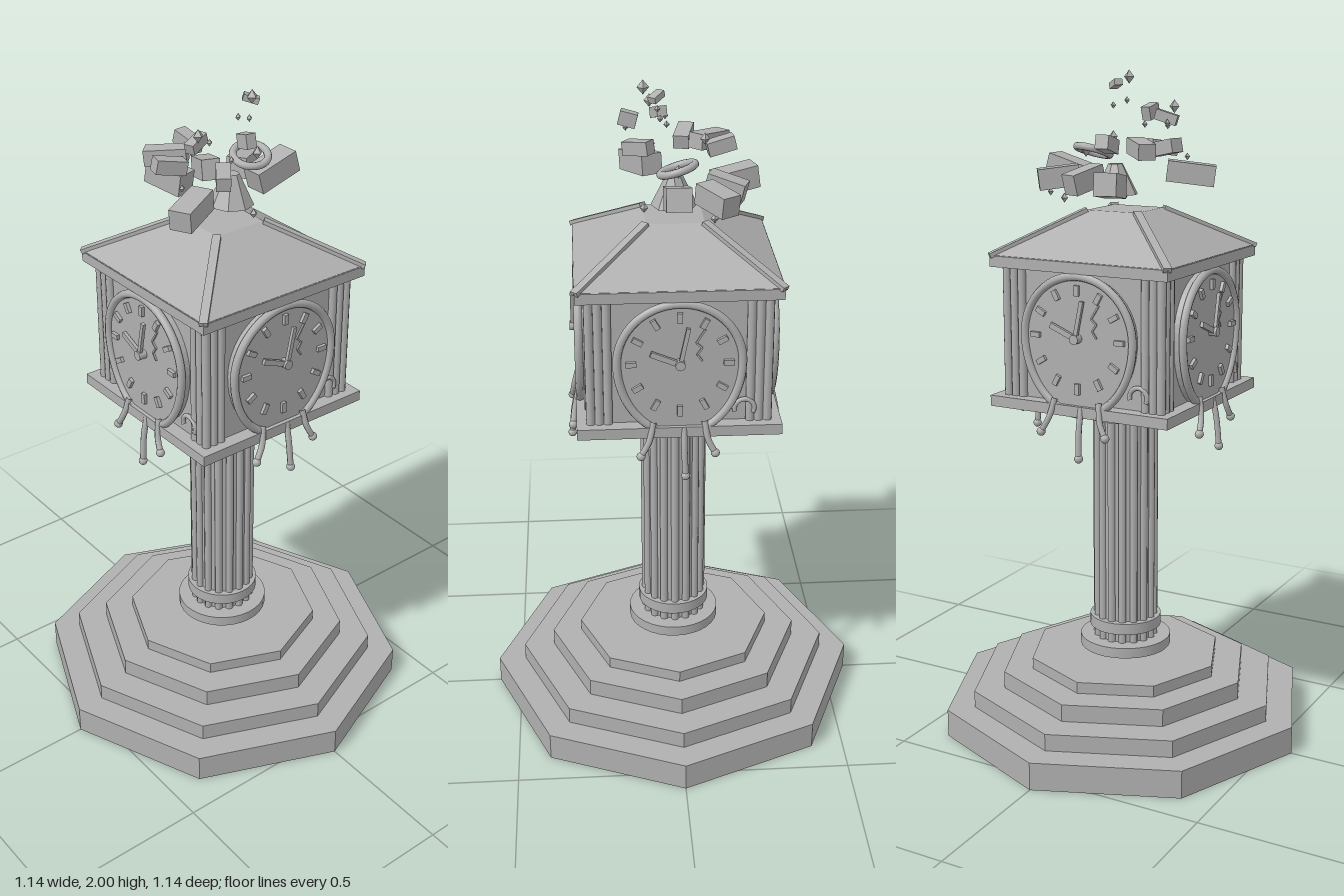
import * as THREE from 'three';

const stone = new THREE.MeshStandardMaterial({ color: 0xb0b0b0 });
stone.name = 'grey stone';

function add(parent, name, geometry, x = 0, y = 0, z = 0, flat = false) {
  const mesh = new THREE.Mesh(flat ? geometry.toNonIndexed() : geometry, stone);
  if (flat) mesh.geometry.computeVertexNormals();
  mesh.name = name;
  mesh.position.set(x, y, z);
  parent.add(mesh);
  return mesh;
}

// Upright disc or prism between two heights
function disc(parent, name, r, y0, y1, sides = 32, rTop = r) {
  return add(parent, name, new THREE.CylinderGeometry(rTop, r, y1 - y0, sides), 0, (y0 + y1) / 2, 0, sides < 12);
}

function slab(parent, name, half, y0, y1) {
  return add(parent, name, new THREE.BoxGeometry(half * 2, y1 - y0, half * 2), 0, (y0 + y1) / 2, 0);
}

function tube(parent, name, points, r, closed = false, steps = 16) {
  const curve = new THREE.CatmullRomCurve3(points.map(p => new THREE.Vector3(...p)), closed);
  return add(parent, name, new THREE.TubeGeometry(curve, steps, r, 8, closed));
}

// Flat bar from one point to another in the dial plane
function bar(parent, name, x0, y0, x1, y1, width, depth, z) {
  const length = Math.hypot(x1 - x0, y1 - y0);
  const mesh = add(parent, name, new THREE.BoxGeometry(length, width, depth), (x0 + x1) / 2, (y0 + y1) / 2, z);
  mesh.rotation.z = Math.atan2(y1 - y0, x1 - x0);
  return mesh;
}

// One melting clock face, facing +z, dial centre at the group's origin
function createClock() {
  const clock = new THREE.Group();
  clock.name = 'meltingClock';
  const outline = [];
  for (let i = 0; i < 48; i++) {
    const a = (i / 48) * Math.PI * 2, s = Math.sin(a);
    outline.push([0.176 * Math.cos(a), (s < 0 ? 0.222 : 0.176) * s]);
  }
  const shape = new THREE.Shape(outline.map(p => new THREE.Vector2(...p)));
  add(clock, 'dial', new THREE.ExtrudeGeometry(shape, { depth: 0.03, bevelEnabled: false }), 0, 0, 0.25);
  tube(clock, 'rim', outline.map(p => [p[0], p[1], 0.28]), 0.012, true, 96);

  // Hour marks
  for (let i = 0; i < 12; i++) {
    const a = (i / 12) * Math.PI * 2, c = Math.cos(a), s = Math.sin(a);
    const sag = s < 0 ? 1.07 : 1;
    bar(clock, 'hourMark', 0.122 * c, 0.122 * s * sag, 0.152 * c, 0.152 * s * sag, 0.015, 0.012, 0.284);
  }
  // Hands and hub
  bar(clock, 'hourHand', 0, 0, -0.082, 0.034, 0.016, 0.01, 0.292);
  bar(clock, 'minuteHand', 0, 0, 0.023, 0.11, 0.012, 0.01, 0.296);
  add(clock, 'hub', new THREE.CylinderGeometry(0.014, 0.014, 0.026, 16), 0, 0, 0.292).rotation.x = Math.PI / 2;

  // Crack in the dial
  const crack = [[0.07, 0.1], [0.045, 0.06], [0.062, 0.045], [0.048, 0.025], [0.062, 0.005]];
  for (let i = 1; i < crack.length; i++) bar(clock, 'crack', ...crack[i - 1], ...crack[i], 0.005, 0.006, 0.282);

  // Drips running over the ledge
  const drips = [
    [[0.012, -0.2, 0.285], [0.012, -0.26, 0.298], [0.015, -0.345, 0.306]],
    [[-0.075, -0.18, 0.285], [-0.088, -0.235, 0.297], [-0.112, -0.28, 0.303]],
    [[0.07, -0.18, 0.285], [0.08, -0.235, 0.297], [0.1, -0.275, 0.303]],
  ];
  for (const path of drips) {
    tube(clock, 'drip', path, 0.009);
    add(clock, 'dripEnd', new THREE.SphereGeometry(0.013, 12, 8), ...path[2]);
  }
  // Curled spring beside the dial
  add(clock, 'spring', new THREE.TorusGeometry(0.028, 0.007, 8, 20, Math.PI * 1.25), 0.185, -0.155, 0.262).rotation.z = -0.5;
  return clock;
}

export function createModel() {
  const model = new THREE.Group();
  model.name = 'clockTower';

  // Octagonal steps
  [[0.57, 0, 0.085], [0.485, 0.085, 0.137], [0.39, 0.137, 0.19], [0.3, 0.19, 0.225]]
    .forEach(([r, y0, y1]) => disc(model, 'step', r, y0, y1, 8));

  // Column with ribs, base rings and capital
  const column = new THREE.Group();
  column.name = 'column';
  model.add(column);
  disc(column, 'foot', 0.08, 0.225, 0.25);
  disc(column, 'baseRing', 0.14, 0.248, 0.28);
  disc(column, 'upperBaseRing', 0.11, 0.312, 0.347);
  disc(column, 'shaft', 0.088, 0.28, 0.99);
  disc(column, 'capital', 0.122, 0.985, 1.017);
  disc(column, 'capitalNeck', 0.108, 1.017, 1.045);
  for (let i = 0; i < 16; i++) {
    const a = (i / 16) * Math.PI * 2;
    add(column, 'rib', new THREE.CylinderGeometry(0.012, 0.012, 0.71, 8), 0.088 * Math.sin(a), 0.635, 0.088 * Math.cos(a));
  }

  // Clock house
  slab(model, 'ledge', 0.292, 1.04, 1.072);
  slab(model, 'house', 0.25, 1.072, 1.455);
  slab(model, 'cornice', 0.288, 1.452, 1.486);
  for (let i = 0; i < 4; i++) {
    const side = new THREE.Group();
    side.name = 'side';
    side.rotation.y = (i * Math.PI) / 2;
    model.add(side);
    const clock = createClock();
    clock.position.y = 1.268;
    side.add(clock);
    for (const x of [-0.252, -0.227, -0.202, 0.202, 0.227])
      add(side, 'pilaster', new THREE.CylinderGeometry(0.013, 0.013, 0.385, 10), x, 1.264, 0.252);

    // Hip ridge of the roof
    const a = new THREE.Vector3(0.288, 1.484, 0.288), b = new THREE.Vector3(0.083, 1.606, 0.083);
    const ridge = add(side, 'hipRidge', new THREE.BoxGeometry(0.024, 0.014, a.distanceTo(b)));
    ridge.position.copy(a).lerp(b, 0.5);
    ridge.lookAt(b.clone());
    ridge.rotation.set(0, 0, 0);
    ridge.quaternion.setFromRotationMatrix(new THREE.Matrix4().lookAt(a, b, new THREE.Vector3(0, 1, 0)));
  }
  disc(model, 'roof', 0.29 * Math.SQRT2, 1.484, 1.606, 4, 0.083 * Math.SQRT2).rotation.y = Math.PI / 4;

  // Floating fragments of the shattered top
  const debris = new THREE.Group();
  debris.name = 'floatingFragments';
  model.add(debris);
  const spire = add(debris, 'brokenSpire', new THREE.CylinderGeometry(0.022, 0.066, 0.09, 8), 0.033, 1.69, 0, true);
  spire.rotation.z = -0.03;
  const ring = add(debris, 'ring', new THREE.TorusGeometry(0.05, 0.011, 10, 28), 0.105, 1.77, -0.005);
  ring.rotation.set(Math.PI / 2 + 0.3, 0.12, 0);

  // x, y, z, length, width, height, tilt; the length points away from the axis
  const blocks = [
    [-0.05, 1.69, -0.18, 0.125, 0.065, 0.065, 0.15],
    [-0.11, 1.79, -0.11, 0.12, 0.05, 0.045, -0.1],
    [0.055, 1.7, -0.145, 0.11, 0.055, 0.06, -0.25],
    [0.16, 1.7, -0.11, 0.12, 0.06, 0.06, -0.12],
    [0.18, 1.71, 0, 0.14, 0.07, 0.065, 0.28],
    [-0.15, 1.79, -0.04, 0.09, 0.045, 0.04, 0.2],
    [-0.17, 1.71, 0.085, 0.14, 0.065, 0.06, -0.12],
    [-0.07, 1.78, 0.095, 0.085, 0.04, 0.04, -0.15],
    [-0.015, 1.8, -0.135, 0.08, 0.04, 0.04, 0.25],
    [-0.015, 1.88, 0.125, 0.05, 0.03, 0.04, 0.25],
    [-0.115, 1.87, 0.035, 0.065, 0.03, 0.03, -0.3],
    [0.06, 1.96, 0.05, 0.045, 0.025, 0.018, -0.3],
  ];
  for (const [x, y, z, length, width, height, tilt] of blocks)
    add(debris, 'block', new THREE.BoxGeometry(length, height, width), x, y, z)
      .rotation.set(0, Math.atan2(-z, x), tilt, 'YZX');

  // x, y, z, radius of each shard
  const shards = [
    [0.035, 1.98, 0.085, 0.017], [0.02, 1.915, 0.045, 0.009], [0.063, 1.9, 0.04, 0.009],
    [-0.127, 1.9, 0.06, 0.016], [-0.07, 1.84, 0.13, 0.009], [-0.127, 1.855, 0.015, 0.009],
    [-0.055, 1.85, 0.015, 0.009], [-0.175, 1.76, 0.05, 0.009], [-0.01, 1.82, -0.09, 0.014],
    [0.045, 1.64, 0.085, 0.012], [0.145, 1.64, -0.105, 0.012], [0.17, 1.66, -0.14, 0.01],
    [0.13, 1.77, -0.005, 0.016],
  ];
  for (const [x, y, z, r] of shards)
    add(debris, 'shard', new THREE.OctahedronGeometry(r), x, y, z).scale.y = 1.2;
  return model;
}
